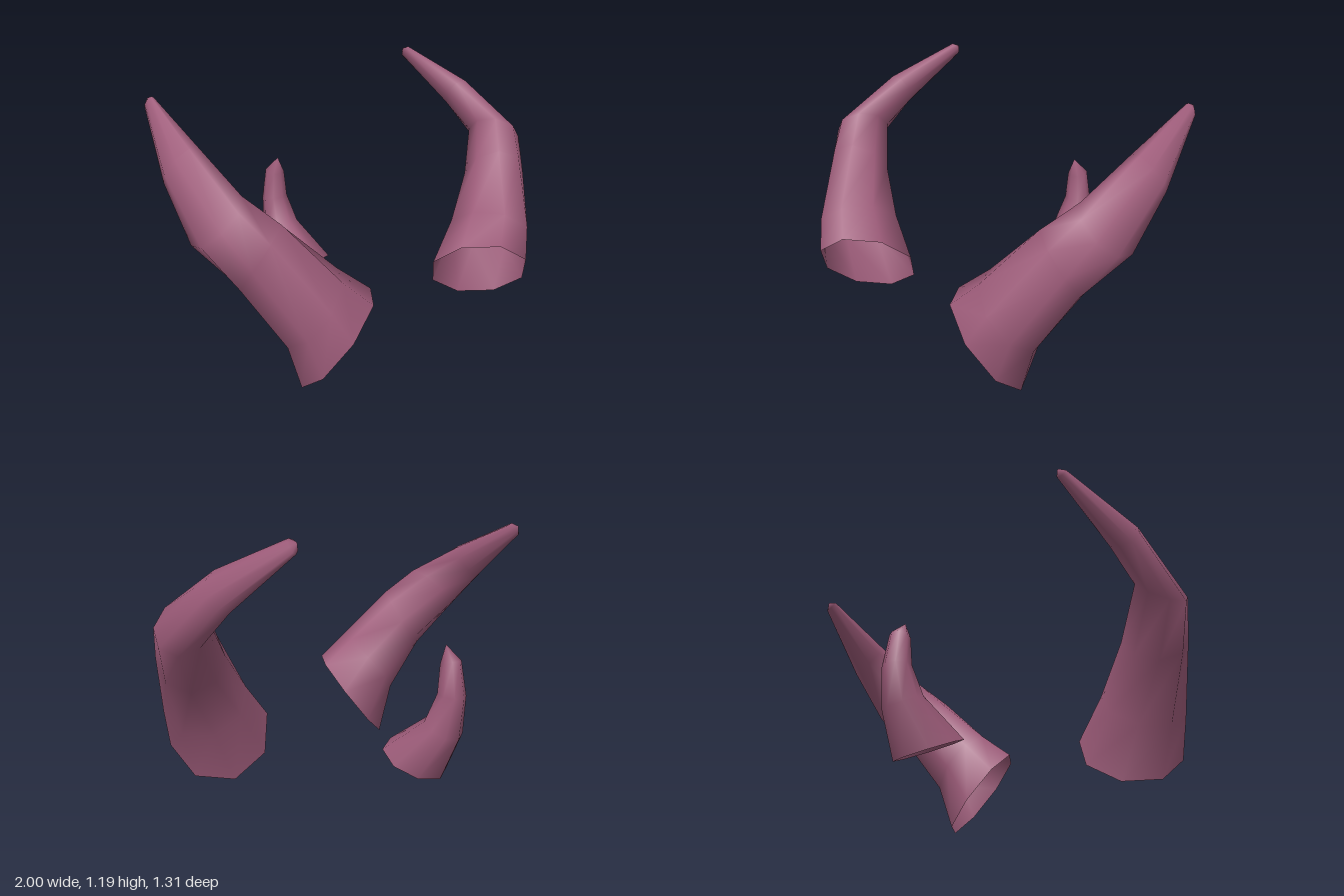
import * as THREE from 'three';

const SIDES = 8;

// Each ring: centre, half-axis towards the front, half-axis towards the inner side.
const SIDE_HORN = {
  rings: [
    [[0.49, 0.212, 0.44], [0.1, 0.1, 0.215], [-0.18, 0.188, 0.027]],
    [[0.6, 0.39, 0.41], [0.06, 0.06, 0.19], [-0.14, 0.14, 0]],
    [[0.77, 0.637, 0.29], [0.04, 0.105, 0.12], [-0.127, 0.1, -0.02]],
    [[0.9, 0.8, 0.175], [-0.015, 0.07, 0.135], [-0.1, 0.08, -0.035]],
    [[0.89, 0.972, -0.075], [-0.01, 0.083, 0.055], [-0.083, 0.02, 0]],
    [[0.822, 1.165, -0.41], [0, 0.03, 0.02], [-0.022, 0.005, 0]],
  ],
  tip: [0.818, 1.18, -0.431],
};

const BACK_HORN = {
  rings: [
    [[0, 0.12, -0.39], [0, 0.07, 0.148], [-0.163, 0, 0]],
    [[0, 0.3, -0.55], [0, 0.042, 0.085], [-0.097, 0, 0]],
    [[0, 0.462, -0.592], [0, 0.008, 0.067], [-0.066, 0, 0]],
    [[0, 0.61, -0.583], [0, -0.01, 0.048], [-0.05, 0, 0]],
  ],
  tip: [0, 0.688, -0.555],
};

// Lofts a horn with an open base through its rings and closes it at the tip.
function hornGeometry({ rings, tip }, mirror = 1) {
  const positions = [];
  const index = [];
  for (const [c, u, v] of rings) {
    for (let j = 0; j < SIDES; j++) {
      const a = (j / SIDES) * Math.PI * 2 * mirror;
      const p = c.map((n, k) => n + u[k] * Math.cos(a) + v[k] * Math.sin(a));
      positions.push(p[0] * mirror, p[1], p[2]);
    }
  }
  positions.push(tip[0] * mirror, tip[1], tip[2]);
  const tipIndex = rings.length * SIDES;
  for (let i = 0; i < rings.length; i++) {
    for (let j = 0; j < SIDES; j++) {
      const a = i * SIDES + j;
      const b = i * SIDES + ((j + 1) % SIDES);
      if (i === rings.length - 1) index.push(a, tipIndex, b);
      else index.push(a, a + SIDES, b, b, a + SIDES, b + SIDES);
    }
  }
  const geometry = new THREE.BufferGeometry();
  geometry.setAttribute('position', new THREE.Float32BufferAttribute(positions, 3));
  geometry.setIndex(index);
  geometry.computeVertexNormals();
  return geometry;
}

export function createModel() {
  const group = new THREE.Group();
  group.name = 'horns';

  const hornMaterial = new THREE.MeshStandardMaterial({ color: 0x9e5c7a, side: THREE.DoubleSide });
  hornMaterial.name = 'mauve horn';

  const add = (name, geometry) => {
    const mesh = new THREE.Mesh(geometry, hornMaterial);
    mesh.name = name;
    group.add(mesh);
  };

  // Large mirrored pair, then the small central horn behind
  add('leftHorn', hornGeometry(SIDE_HORN));
  add('rightHorn', hornGeometry(SIDE_HORN, -1));
  add('backHorn', hornGeometry(BACK_HORN));

  return group;
}
